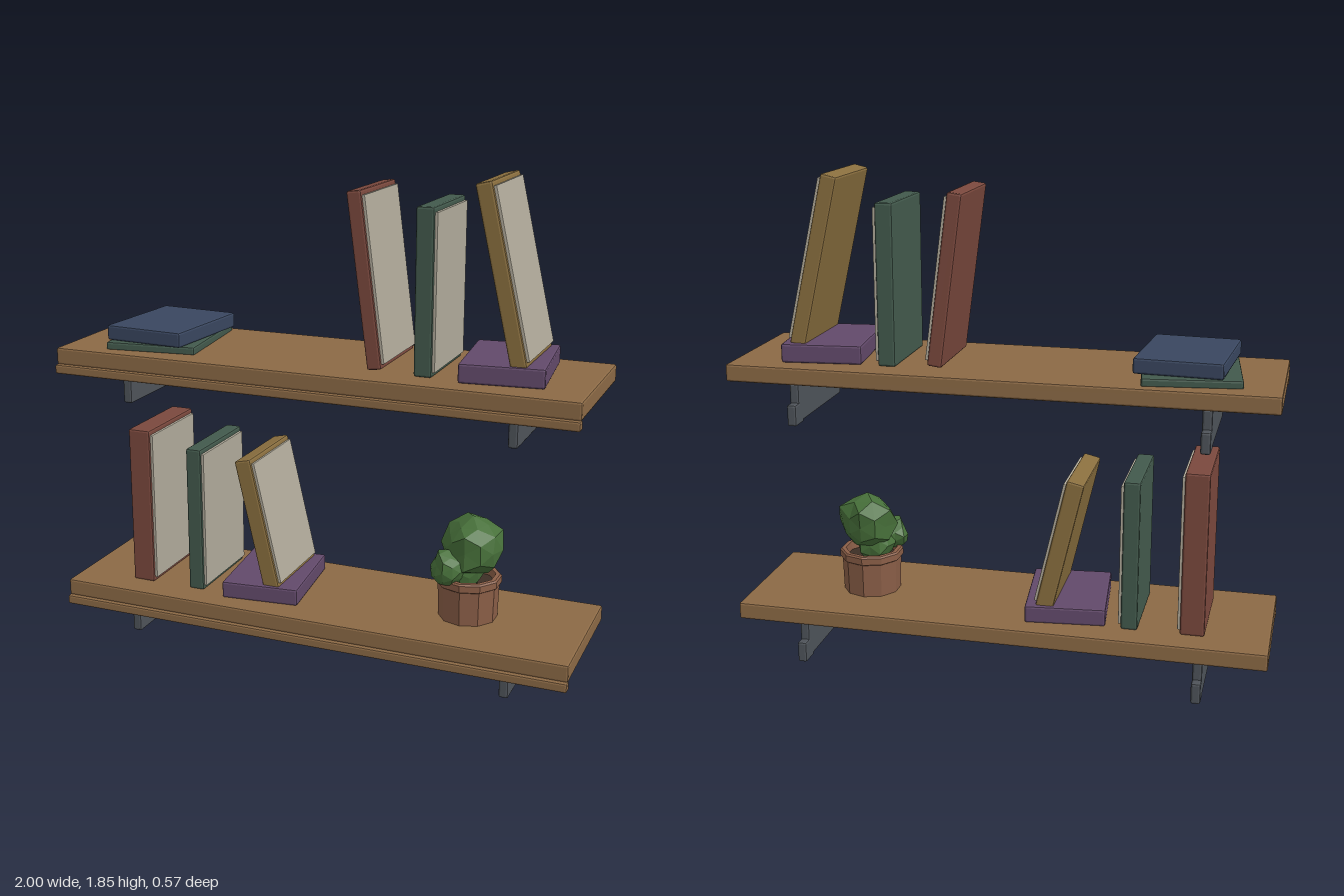
import * as THREE from 'three';
import { RoundedBoxGeometry } from 'three/addons/geometries/RoundedBoxGeometry.js';
import { mergeVertices } from 'three/addons/utils/BufferGeometryUtils.js';

const paint = (color, extra = {}) => new THREE.MeshStandardMaterial({ color, flatShading: true, ...extra });
const MAT = {
  wood: paint(0x8b6945), iron: paint(0x4e5359), paper: paint(0xb0aa9a),
  red: paint(0x7a483d), green: paint(0x42594c), yellow: paint(0x8a6f3f),
  purple: paint(0x62496a), navy: paint(0x39465f),
  clay: paint(0x8a5e47, { side: THREE.DoubleSide }), soil: paint(0x3c2e25), cactus: paint(0x47703a),
};

// Box with a small chamfer on every edge
function chamferBox(name, w, h, d, mat, x = 0, y = 0, z = 0, bevel = 0.008) {
  const mesh = new THREE.Mesh(new RoundedBoxGeometry(w, h, d, 1, bevel), mat);
  mesh.name = name;
  mesh.position.set(x, y, z);
  return mesh;
}

// Upright book: (x, y) is the lower left corner, lean tips the top towards -x
function standingBook(name, mat, x, y, thick, height, lean = 0) {
  const book = new THREE.Group();
  book.name = name;
  book.add(
    chamferBox('cover', thick, height, 0.352, mat, thick / 2, height / 2),
    chamferBox('pages', thick * 0.8, height - 0.036, 0.336, MAT.paper, thick * 0.6 + 0.01, height / 2, 0, 0.002),
  );
  book.position.set(x, y, -0.01);
  book.rotation.z = THREE.MathUtils.degToRad(lean);
  return book;
}

// Book lying flat, turned about the vertical axis
function lyingBook(name, mat, x, y, z, w, h, d, turn) {
  const book = chamferBox(name, w, h, d, mat, x, y + h / 2, z);
  book.rotation.y = THREE.MathUtils.degToRad(turn);
  return book;
}

// Board with front lip and two brackets; y is the underside of the brackets
function shelf(name, y) {
  const group = new THREE.Group();
  group.name = name;
  group.position.y = y;
  group.add(chamferBox('board', 2, 0.065, 0.555, MAT.wood, 0, 0.1875, -0.0075));
  group.add(chamferBox('frontLip', 2, 0.035, 0.035, MAT.wood, 0, 0.14, 0.268, 0.007));
  for (const side of [-1, 1]) {
    const bracket = new THREE.Group();
    bracket.name = side > 0 ? 'leftBracket' : 'rightBracket';
    bracket.position.x = side * 0.75;
    bracket.add(chamferBox('arm', 0.036, 0.145, 0.435, MAT.iron, 0, 0.0795, -0.0325));
    bracket.add(chamferBox('wallTab', 0.036, 0.08, 0.08, MAT.iron, 0, 0.04, -0.245));
    group.add(bracket);
  }
  return group;
}

// Faceted lump with seeded dents
function lump(name, radius, detail, seed, x, y, z, sy = 1) {
  let s = seed;
  const rand = () => (s = (s * 16807) % 2147483647) / 2147483647;
  let geo = new THREE.IcosahedronGeometry(radius, detail);
  geo.deleteAttribute('normal');
  geo.deleteAttribute('uv');
  geo = mergeVertices(geo, 1e-4);
  const p = geo.attributes.position;
  for (let i = 0; i < p.count; i++) {
    const k = 0.86 + 0.28 * rand();
    p.setXYZ(i, p.getX(i) * k, p.getY(i) * k * sy, p.getZ(i) * k);
  }
  geo.computeVertexNormals();
  const mesh = new THREE.Mesh(geo, MAT.cactus);
  mesh.name = name;
  mesh.position.set(x, y, z);
  return mesh;
}

function pottedPlant() {
  const plant = new THREE.Group();
  plant.name = 'pottedPlant';
  plant.position.set(0.553, 0.22, -0.01);
  // Pot wall, rim and inner wall in one profile
  const profile = [[0, 0], [0.11, 0], [0.114, 0.13], [0.122, 0.135], [0.122, 0.16],
    [0.116, 0.166], [0.1, 0.166], [0.096, 0.12]].map(([r, y]) => new THREE.Vector2(r, y));
  const pot = new THREE.Mesh(new THREE.LatheGeometry(profile, 10), MAT.clay);
  pot.name = 'pot';
  const soil = new THREE.Mesh(new THREE.CylinderGeometry(0.099, 0.099, 0.02, 10), MAT.soil);
  soil.name = 'soil';
  soil.position.y = 0.125;
  plant.add(pot, soil,
    lump('cactusStem', 0.075, 1, 11, -0.015, 0.19, 0, 1.1),
    lump('cactusBody', 0.112, 1, 77, 0.01, 0.275, -0.003),
    lump('cactusOffshoot', 0.066, 1, 205, -0.06, 0.205, 0.068));
  return plant;
}

export function createModel() {
  const model = new THREE.Group();
  model.name = 'wallShelves';
  model.add(shelf('lowerShelf', 0), shelf('upperShelf', 0.94));

  // Lower shelf
  model.add(
    standingBook('lowerRedBook', MAT.red, -0.765, 0.22, 0.09, 0.618),
    standingBook('lowerGreenBook', MAT.green, -0.52, 0.22, 0.062, 0.568),
    standingBook('lowerYellowBook', MAT.yellow, -0.202, 0.265, 0.066, 0.51, 13),
    lyingBook('lowerPurpleBook', MAT.purple, -0.232, 0.22, -0.005, 0.3, 0.065, 0.38, 6),
    pottedPlant(),
  );

  // Upper shelf
  model.add(
    standingBook('upperRedBook', MAT.red, 0.21, 1.165, 0.055, 0.628, 7.5),
    standingBook('upperGreenBook', MAT.green, 0.382, 1.16, 0.066, 0.59),
    standingBook('upperYellowBook', MAT.yellow, 0.727, 1.215, 0.06, 0.635, 13),
    lyingBook('upperPurpleBook', MAT.purple, 0.68, 1.16, -0.01, 0.3, 0.07, 0.38, 6),
    lyingBook('flatGreenBook', MAT.green, -0.665, 1.155, -0.015, 0.35, 0.033, 0.43, 7),
    lyingBook('flatNavyBook', MAT.navy, -0.652, 1.188, -0.003, 0.318, 0.057, 0.405, -4),
  );
  return model;
}
